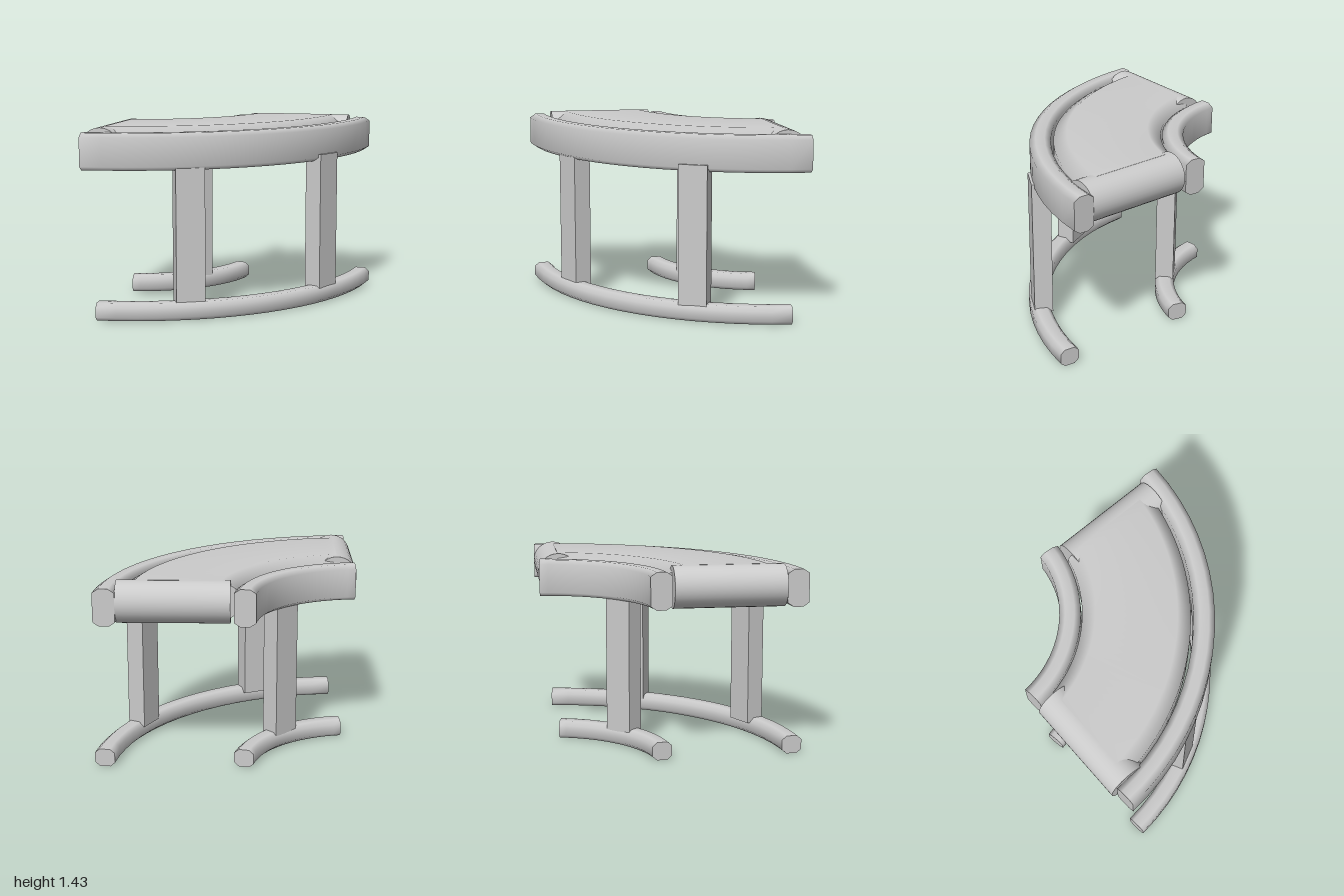
import * as THREE from 'three';

const material = new THREE.MeshStandardMaterial({ color: 0xcccccc });
const CX = -1.05, CZ = -1.03; // shared centre of the bend
const rad = THREE.MathUtils.degToRad;

// Chamfered rectangle in (radius, height), counter-clockwise
function section(r0, r1, y0, y1, cr, cy) {
  return [
    [r0 + cr, y0], [r1 - cr, y0], [r1, y0 + cy], [r1, y1 - cy],
    [r1 - cr, y1], [r0 + cr, y1], [r0, y1 - cy], [r0, y0 + cy],
  ];
}

// Sweep a section around the bend; start and end angle may depend on radius
function sweep(profile, start, end, segments, cx = CX, cz = CZ) {
  const n = profile.length, pos = [], index = [];
  const addRing = (f) => {
    for (const [r, y] of profile) {
      const t = THREE.MathUtils.lerp(start(r), end(r), f);
      pos.push(cx + r * Math.sin(t), y, cz + r * Math.cos(t));
    }
  };
  for (let i = 0; i <= segments; i++) addRing(i / segments);
  for (let i = 0; i < segments; i++) {
    for (let j = 0; j < n; j++) {
      const k = (j + 1) % n;
      const a = i * n + j, b = a + n, c = (i + 1) * n + k, d = i * n + k;
      index.push(a, b, c, a, c, d);
    }
  }
  // End caps with their own vertices, so the rim stays sharp
  const s = pos.length / 3, e = s + n;
  addRing(0);
  addRing(1);
  for (let j = 1; j < n - 1; j++) index.push(s, s + j, s + j + 1, e, e + j + 1, e + j);
  const g = new THREE.BufferGeometry();
  g.setAttribute('position', new THREE.Float32BufferAttribute(pos, 3));
  g.setIndex(index);
  g.computeVertexNormals();
  return g;
}

export function createModel() {
  const model = new THREE.Group();
  const add = (name, geometry) => {
    const mesh = new THREE.Mesh(geometry, material);
    mesh.name = name;
    model.add(mesh);
    return mesh;
  };
  const rail = (name, profile, a, b, cx, cz) =>
    add(name, sweep(profile, () => rad(a), () => rad(b), 18, cx, cz));

  // Side rails along the bed
  rail('outerSideRail', section(1.83, 1.99, 1.125, 1.4, 0.045, 0.03), 3, 87.5);
  rail('innerSideRail', section(0.83, 0.99, 1.125, 1.4, 0.045, 0.03), 4.8, 84.5);

  // Curved belt with drooping edges, cut straight at the two rollers
  add('belt', sweep(
    section(1.0, 1.81, 1.115, 1.43, 0.1, 0.06),
    (r) => Math.asin(0.205 / r),
    (r) => Math.acos(0.23 / r),
    28,
  ));

  // End rollers
  const rollerGeometry = new THREE.CylinderGeometry(0.156, 0.156, 0.82, 32);
  const leftRoller = add('endRoller', rollerGeometry);
  leftRoller.rotation.x = Math.PI / 2;
  leftRoller.position.set(-0.844, 1.273, 0.38);
  const backRoller = add('endRoller', rollerGeometry);
  backRoller.rotation.z = Math.PI / 2;
  backRoller.position.set(0.37, 1.273, -0.797);

  // Floor rails
  rail('outerFloorRail', section(1.835, 1.985, 0, 0.135, 0.035, 0.03), 4.5, 83.5, -1.0, -1.03);
  rail('innerFloorRail', section(0.84, 0.99, 0, 0.135, 0.035, 0.03), 9, 77, -1.03, -1.01);

  // Legs, turned to follow the bend
  const legGeometry = new THREE.BoxGeometry(0.22, 1.08, 0.142);
  for (const [name, x, z, angle] of [
    ['outerLeg', -0.2, 0.665, 26],
    ['outerLeg', 0.665, -0.13, 63],
    ['innerLeg', -0.41, -0.335, 45],
  ]) {
    const leg = add(name, legGeometry);
    leg.position.set(x, 0.64, z);
    leg.rotation.y = rad(angle);
  }
  return model;
}
